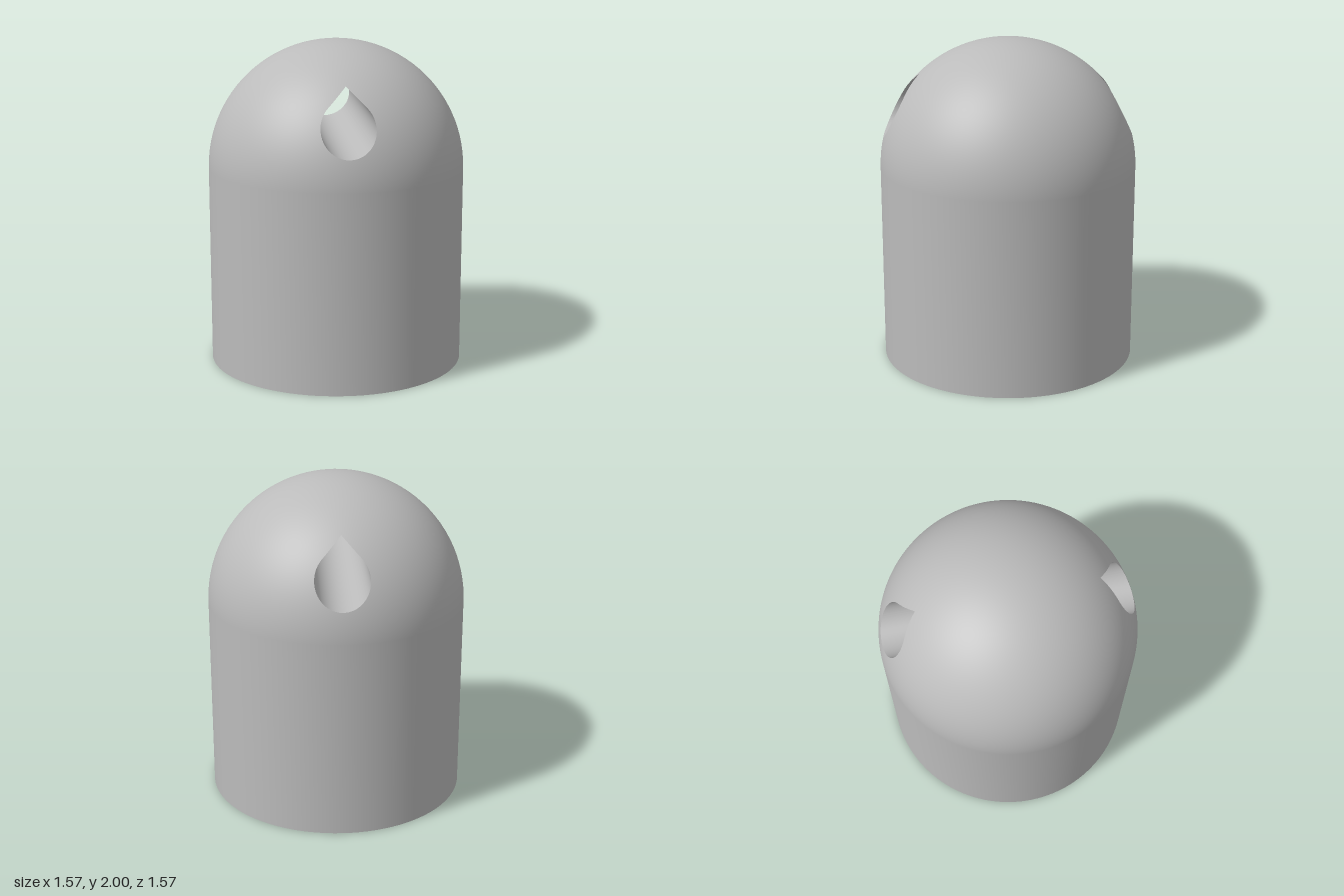
import * as THREE from 'three';
import { toCreasedNormals } from 'three/addons/utils/BufferGeometryUtils.js';

const R = 0.785;          // outer radius
const SPRING = 1.215;     // height where the dome begins
const HOLE_Y = 1.56;      // centre of the teardrop hole
const HOLE_R = 0.16;
const HALF = 48;          // segments per half turn
const RINGS = 28;

// Point on the sphere, relative to the dome centre, above front coordinates (x, h)
const onSphere = (x, h) =>
  new THREE.Vector3(x, h, Math.sqrt(Math.max(0, R * R - x * x - h * h)));

// Outline of half the dome: along the front spring line, then back over the crown
function domeEdge() {
  const pts = [];
  for (let i = 0; i <= 2 * HALF; i++) {
    const a = (i / HALF) * Math.PI;
    const x = R * Math.cos(a), s = R * Math.abs(Math.sin(a));
    pts.push(i <= HALF ? new THREE.Vector3(x, 0, s) : new THREE.Vector3(x, s, 0));
  }
  return pts;
}

// Teardrop point on the sphere in the direction of an outline point
function teardropPoint(p) {
  const cy = HOLE_Y - SPRING;
  const fromUp = Math.atan2(p.x, p.y - cy);
  const off = Math.max(0, Math.PI / 4 - Math.abs(fromUp));
  const r = HOLE_R / Math.cos(off);
  return onSphere(r * Math.sin(fromUp), cy + r * Math.cos(fromUp));
}

// Half of the dome, spread from the teardrop rim to the outline
function halfDomeGeometry(rim, edge) {
  const pos = [], nor = [], idx = [];
  const n = edge.length;
  for (let j = 0; j <= RINGS; j++) {
    for (let i = 0; i < n; i++) {
      const d = rim[i].clone().lerp(edge[i], j / RINGS).normalize();
      nor.push(d.x, d.y, d.z);
      pos.push(d.x * R, d.y * R + SPRING, d.z * R);
      if (j < RINGS && i < n - 1) {
        const a = j * n + i, b = a + 1, c = a + n, e = c + 1;
        idx.push(a, b, c, b, e, c);
      }
    }
  }
  const g = new THREE.BufferGeometry();
  g.setAttribute('position', new THREE.Float32BufferAttribute(pos, 3));
  g.setAttribute('normal', new THREE.Float32BufferAttribute(nor, 3));
  g.setIndex(idx);
  return g;
}

// Wall of the hole running from the front rim to the back rim
function tunnelGeometry(rim) {
  const pos = [];
  const put = (p, side) => pos.push(p.x, p.y + SPRING, p.z * side);
  for (let i = 0; i < rim.length - 1; i++) {
    const a = rim[i], b = rim[i + 1];
    put(a, 1); put(a, -1); put(b, 1);
    put(b, 1); put(a, -1); put(b, -1);
  }
  const g = new THREE.BufferGeometry();
  g.setAttribute('position', new THREE.Float32BufferAttribute(pos, 3));
  return toCreasedNormals(g, 0.5);
}

export function createModel() {
  const grey = new THREE.MeshStandardMaterial({ color: 0xbbbbbb });
  grey.name = 'plain grey';
  const tunnelGrey = grey.clone();
  tunnelGrey.side = THREE.DoubleSide;

  const group = new THREE.Group();
  group.name = 'domedCap';
  const add = (name, geometry, material = grey) => {
    const mesh = new THREE.Mesh(geometry, material);
    mesh.name = name;
    group.add(mesh);
    return mesh;
  };

  // Cylinder wall with its chamfered blind bore
  const profile = [
    [0, 1.2], [0.578, 1.2], [0.578, 0.05], [0.632, 0], [R, 0], [R, SPRING],
  ].map(([x, y]) => new THREE.Vector2(x, y));
  add('boredBody', toCreasedNormals(new THREE.LatheGeometry(profile, 2 * HALF), 0.5));

  // Dome halves, each pierced by the teardrop
  const edge = domeEdge();
  const rim = edge.map(teardropPoint);
  const half = halfDomeGeometry(rim, edge);
  add('frontDome', half);
  add('backDome', half).rotation.y = Math.PI;

  // Through hole
  add('teardropHole', tunnelGeometry(rim), tunnelGrey);

  return group;
}
